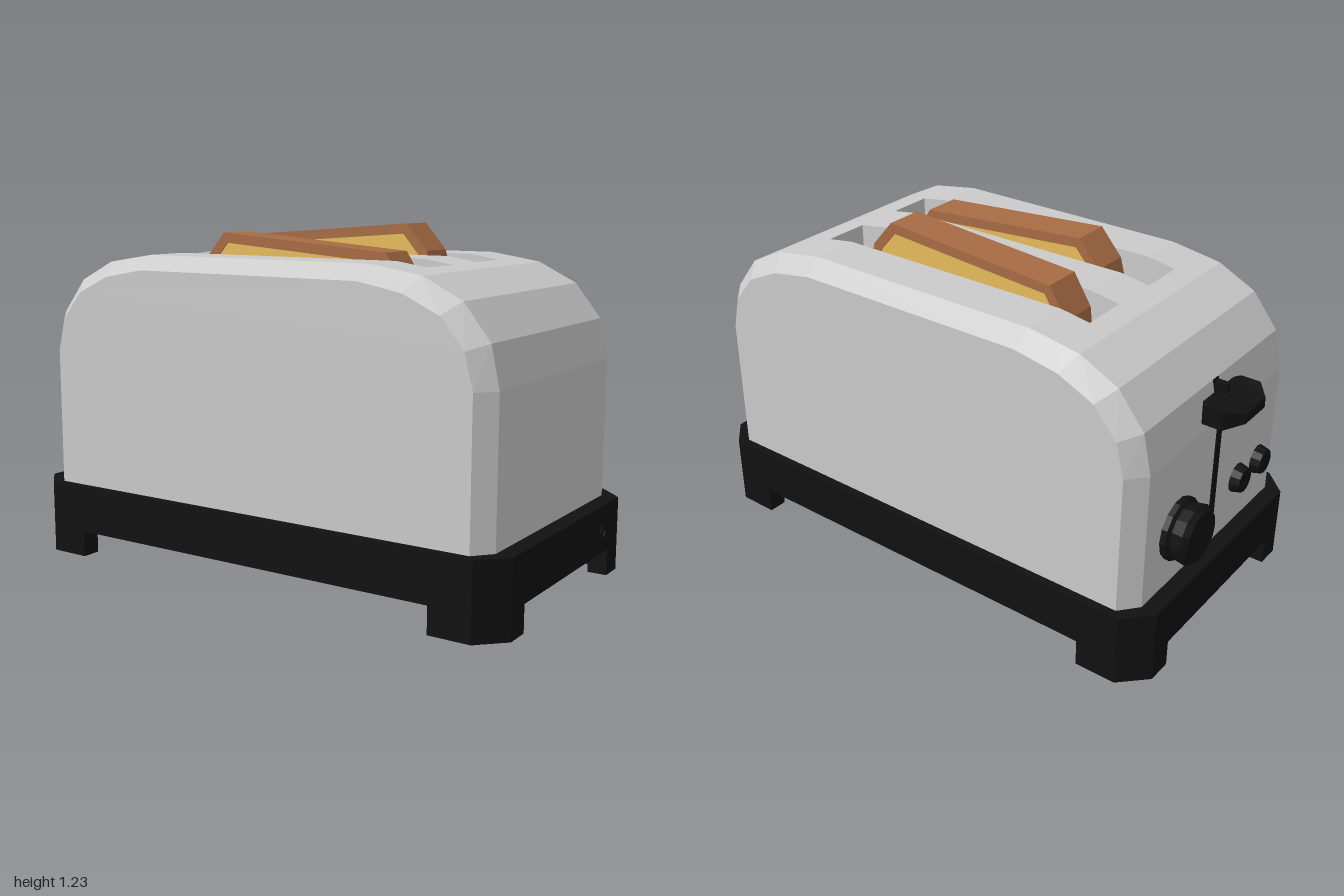
import * as THREE from 'three';

const CX = 0.025; // middle of the housing and base
const mat = (color) => new THREE.MeshStandardMaterial({ color, flatShading: true, side: THREE.DoubleSide });
const steel = mat(0xcccccc), black = mat(0x111111), crust = mat(0xa86c44), crumb = mat(0xe8bc5c);

function add(parent, name, geometry, material, x = 0, y = 0, z = 0) {
  const mesh = new THREE.Mesh(geometry, material);
  mesh.name = name;
  mesh.position.set(x, y, z);
  parent.add(mesh);
  return mesh;
}

const toShape = (pts) => new THREE.Shape(pts.map(([x, y]) => new THREE.Vector2(x, y)));
const mirrored = (half) => [...half.map(([x, y]) => [-x, y]), ...half.slice().reverse()];

// Extrude a plan outline upward
function extrudeUp(shape, height) {
  return new THREE.ExtrudeGeometry(shape, { depth: height, bevelEnabled: false }).rotateX(-Math.PI / 2);
}

// Rectangle with cut corners
function octagon(a, b, c) {
  return [[a, b - c], [a - c, b], [c - a, b], [-a, b - c], [-a, c - b], [c - a, -b], [a - c, -b], [a, c - b]];
}

function createHousing() {
  const group = new THREE.Group();
  group.name = 'housing';
  const floorY = 0.16, slotFloor = 0.45;
  const full = mirrored([[0.905, floorY], [0.905, 0.76], [0.875, 0.9], [0.78, 1.02], [0.64, 1.09], [0.56, 1.103], [0.45, 1.12]]);
  const inset = mirrored([[0.85, floorY], [0.85, 0.76], [0.82, 0.88], [0.735, 0.98], [0.605, 1.04], [0.535, 1.053], [0.44, 1.07]]);
  const sections = [-0.495, -0.43, -0.26, -0.09, 0.09, 0.26, 0.43, 0.495]
    .map((z) => (Math.abs(z) > 0.45 ? inset : full).map(([x, y]) => [x, y, z]));
  const pos = [];
  const quad = (a, b, c, d) => pos.push(...a, ...b, ...c, ...a, ...c, ...d);
  const low = ([x, , z]) => [x, slotFloor, z];
  const last = full.length - 1, first = 5, end = last - 5; // slot ends along the profile

  for (let k = 0; k < sections.length - 1; k++) {
    const A = sections[k], B = sections[k + 1];
    const hasSlot = k === 2 || k === 4;
    for (let i = 0; i < last; i++) {
      if (hasSlot && i >= first && i < end) {
        // slot side walls
        quad(low(A[i]), low(A[i + 1]), A[i + 1], A[i]);
        quad(B[i], B[i + 1], low(B[i + 1]), low(B[i]));
      } else quad(A[i], B[i], B[i + 1], A[i + 1]);
    }
    if (hasSlot) {
      // slot ends and floor
      quad(low(A[first]), A[first], B[first], low(B[first]));
      quad(low(B[end]), B[end], A[end], low(A[end]));
      quad(low(A[first]), low(B[first]), low(B[end]), low(A[end]));
    }
    quad(A[0], A[last], B[last], B[0]); // underside
  }
  const shell = new THREE.BufferGeometry();
  shell.setAttribute('position', new THREE.Float32BufferAttribute(pos, 3));
  shell.computeVertexNormals();
  add(group, 'shell', shell, steel);

  // Flat front and back panels
  const panel = new THREE.ShapeGeometry(toShape(inset));
  add(group, 'frontPanel', panel, steel, 0, 0, 0.495);
  add(group, 'backPanel', panel, steel, 0, 0, -0.495).rotation.y = Math.PI;
  group.position.x = CX;
  return group;
}

function createBase() {
  const group = new THREE.Group();
  group.name = 'base';
  const L = 0.965, W = 0.525, T = 0.07;
  const ring = toShape(octagon(L, W, 0.09));
  ring.holes.push(toShape(octagon(L - T, W - T, 0.06)));
  add(group, 'skirt', extrudeUp(ring, 0.17), black, 0, 0.095, 0);

  // Corner feet wrap round the cut corners
  const foot = [[L - 0.24, W], [L - 0.09, W], [L, W - 0.09], [L, W - 0.18], [L - T, W - 0.18],
    [L - T, W - 0.13], [L - 0.13, W - T], [L - 0.24, W - T]];
  for (const sx of [-1, 1]) for (const sz of [-1, 1]) {
    add(group, 'foot', extrudeUp(toShape(foot.map(([x, z]) => [x * sx, z * sz])), 0.1), black);
  }

  // Cord outlet on the end
  add(group, 'cordOutlet', new THREE.TorusGeometry(0.022, 0.006, 5, 10).rotateY(Math.PI / 2), black, L, 0.17, -0.29);
  group.position.x = CX;
  return group;
}

function createToast(name, x, y, z, tilt) {
  const group = new THREE.Group();
  group.name = name;
  const outline = mirrored([[0.43, -0.6], [0.43, -0.2], [0.41, -0.1], [0.335, 0]]);
  const inner = mirrored([[0.395, -0.565], [0.395, -0.2], [0.378, -0.115], [0.318, -0.035]]);
  const rim = toShape(outline);
  rim.holes.push(toShape(inner));
  const slab = (shape, depth) =>
    new THREE.ExtrudeGeometry(shape, { depth, bevelEnabled: false }).translate(0, 0, -depth / 2);
  add(group, 'crust', slab(rim, 0.138), crust);
  add(group, 'crumb', slab(toShape(inner), 0.13), crumb);
  group.position.set(x, y, z);
  group.rotation.z = tilt;
  return group;
}

function createControls() {
  const group = new THREE.Group();
  group.name = 'controls';
  const X = -0.88; // end wall

  // Lever track, following the wall as it leans in
  add(group, 'leverTrack', new THREE.BoxGeometry(0.008, 0.43, 0.032), black, X, 0.545, 0);
  add(group, 'leverTrackTop', new THREE.BoxGeometry(0.008, 0.143, 0.032), black, -0.865, 0.83, 0).rotation.z = -0.21;
  add(group, 'leverStem', new THREE.BoxGeometry(0.05, 0.06, 0.024), black, -0.875, 0.865, 0);

  // Lever handle: plan outline, thinner toward the tip
  const plan = [[-0.865, 0.1], [-0.88, 0.125], [-0.95, 0.125], [-1, 0.065],
    [-1, -0.065], [-0.95, -0.125], [-0.88, -0.125], [-0.865, -0.1]];
  const handle = extrudeUp(toShape(plan), 0.066).translate(0, -0.033, 0);
  const p = handle.attributes.position;
  for (let i = 0; i < p.count; i++) if (p.getX(i) < -0.97) p.setY(i, p.getY(i) * 0.55);
  add(group, 'leverHandle', handle, black, 0, 0.832, 0);

  // Browning knob, turned about the x axis
  const knob = [[0, 0], [0.11, 0], [0.11, 0.02], [0.098, 0.03], [0.105, 0.07], [0.09, 0.09], [0, 0.09]]
    .map(([r, h]) => new THREE.Vector2(r, h));
  add(group, 'knob', new THREE.LatheGeometry(knob, 14).rotateZ(Math.PI / 2), black, X, 0.465, -0.235);

  // Push buttons
  for (const z of [0.17, 0.32]) {
    add(group, 'button', new THREE.CylinderGeometry(0.045, 0.055, 0.04, 12).rotateZ(Math.PI / 2), black, X - 0.015, 0.445, z);
  }
  return group;
}

export function createModel() {
  const model = new THREE.Group();
  model.name = 'toaster';
  model.add(
    createHousing(),
    createBase(),
    createControls(),
    createToast('frontToast', 0.085, 1.17, 0.168, -0.078),
    createToast('backToast', -0.035, 1.203, -0.175, 0.075),
  );
  return model;
}
